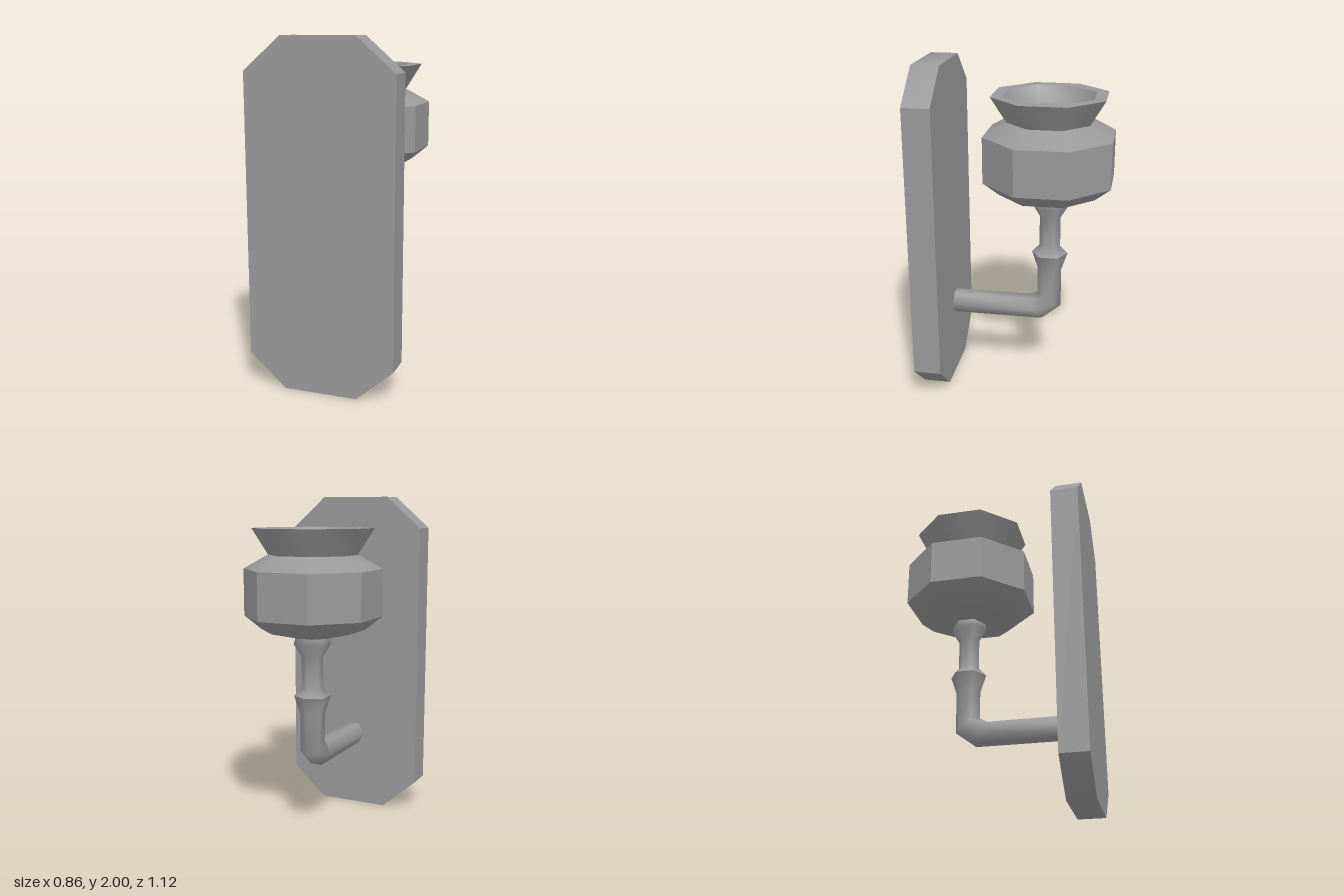
import * as THREE from 'three';
import { toCreasedNormals } from 'three/addons/utils/BufferGeometryUtils.js';

const material = new THREE.MeshStandardMaterial({ color: 0x999999 });

function part(name, geometry) {
  const mesh = new THREE.Mesh(geometry, material);
  mesh.name = name;
  return mesh;
}

// Skin six-sided rings: [z, y, tilt, half-width in x, half-width across, phase]
function hexLoft(rings) {
  const positions = [], index = [], sides = 6;
  for (const [z, y, tilt, rx, rn, phase] of rings) {
    for (let i = 0; i < sides; i++) {
      const a = phase + (i * Math.PI * 2) / sides;
      const across = rn * Math.sin(a);
      positions.push(rx * Math.cos(a), y + across * Math.cos(tilt), z + across * Math.sin(tilt));
    }
  }
  for (let j = 0; j < rings.length - 1; j++) {
    for (let i = 0; i < sides; i++) {
      const a = j * sides + i, b = j * sides + ((i + 1) % sides);
      index.push(a, a + sides, b, b, a + sides, b + sides);
    }
  }
  const geometry = new THREE.BufferGeometry();
  geometry.setAttribute('position', new THREE.Float32BufferAttribute(positions, 3));
  geometry.setIndex(index);
  geometry.computeVertexNormals();
  return geometry;
}

export function createModel() {
  const group = new THREE.Group();
  group.name = 'wallLamp';

  // Wall plate with clipped corners, softly shaded where the clips meet the ends
  const outline = [
    [-0.215, 0], [0.215, 0], [0.432, 0.19], [0.432, 1.81],
    [0.215, 2], [-0.215, 2], [-0.432, 1.81], [-0.432, 0.19],
  ].map(([x, y]) => new THREE.Vector2(x, y));
  const plate = new THREE.ExtrudeGeometry(new THREE.Shape(outline), { depth: 0.163, bevelEnabled: false });
  plate.translate(0, 0, 0.398);
  group.add(part('wallPlate', toCreasedNormals(plate, 0.77)));

  // Bent arm and upright stem, meeting in a sharp collar
  const turn = Math.PI / 6;
  const upright = (y, r) => [-0.199, y, Math.PI / 2, r, r, turn];
  group.add(part('arm', hexLoft([
    [0.42, 0.476, 0, 0.073, 0.073, 0],
    [-0.115, 0.476, 0.57, 0.073, 0.086, 0],
    [-0.199, 0.535, 1.07, 0.073, 0.083, turn],
    upright(0.74, 0.073),
    upright(0.848, 0.109),
  ])));
  group.add(part('stem', hexLoft([
    upright(0.848, 0.109),
    upright(0.895, 0.063),
    upright(1.08, 0.063),
    upright(1.155, 0.109),
    upright(1.2, 0.097),
  ])));

  // Eight-sided lamp bowl with a flared, hollow rim; radii measured to the flats
  const profile = [
    [0, 1.195], [0.1, 1.195], [0.28, 1.24], [0.37, 1.318], [0.37, 1.59],
    [0.238, 1.67], [0.325, 1.82], [0.257, 1.82], [0.203, 1.72], [0, 1.72],
  ].map(([r, y]) => new THREE.Vector2(r / Math.cos(Math.PI / 8), y));
  const bowl = toCreasedNormals(new THREE.LatheGeometry(profile, 8, Math.PI / 8), 0.7);
  bowl.translate(0, 0, -0.19);
  group.add(part('lampBowl', bowl));

  return group;
}
